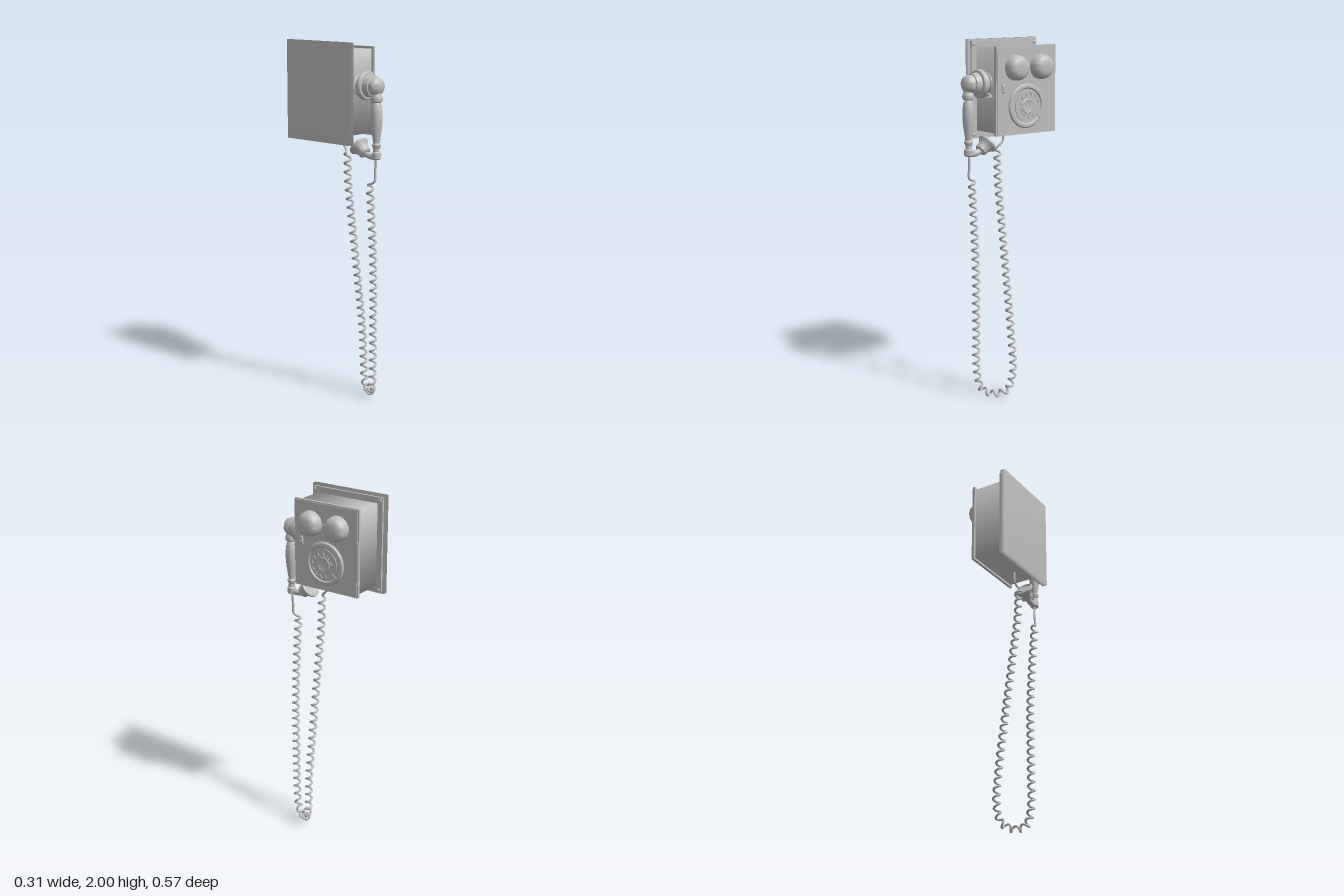
import * as THREE from 'three';
import { mergeVertices, toCreasedNormals } from 'three/addons/utils/BufferGeometryUtils.js';

const V = (x, y, z) => new THREE.Vector3(x, y, z);

export function createModel() {
  const root = new THREE.Group();
  root.name = 'wallTelephone';
  const grey = new THREE.MeshStandardMaterial({ color: 0xbebebe });
  grey.name = 'grey';
  grey.side = THREE.DoubleSide;

  const add = (name, geo, parent = root) => {
    const mesh = new THREE.Mesh(geo, grey);
    mesh.name = name;
    parent.add(mesh);
    return mesh;
  };
  // Box given by its low and high corners
  const box = (name, a, b) => {
    const mesh = add(name, new THREE.BoxGeometry(b[0] - a[0], b[1] - a[1], b[2] - a[2]));
    mesh.position.set((a[0] + b[0]) / 2, (a[1] + b[1]) / 2, (a[2] + b[2]) / 2);
    return mesh;
  };
  // Turned part: profile of [radius, distance along dir], starting at origin
  const turned = (name, profile, origin, dir, sides = 32) => {
    const geo = new THREE.LatheGeometry(profile.map(([r, h]) => new THREE.Vector2(r, h)), sides);
    const mesh = add(name, toCreasedNormals(geo, 0.6));
    mesh.position.copy(origin);
    mesh.quaternion.setFromUnitVectors(V(0, 1, 0), dir.clone().normalize());
    return mesh;
  };
  const tube = (name, pts, r, seg = 16) =>
    add(name, new THREE.TubeGeometry(new THREE.CatmullRomCurve3(pts), seg, r, 8));
  const X = V(1, 0, 0), Y = V(0, 1, 0), Z = V(0, 0, 1);

  // Wall plate with softly shaded corners, and its step
  const wallPlate = box('wallPlate', [-0.157, 1.46, -0.287], [-0.129, 2, 0.177]);
  wallPlate.geometry.deleteAttribute('normal');
  wallPlate.geometry.deleteAttribute('uv');
  wallPlate.geometry = mergeVertices(wallPlate.geometry);
  wallPlate.geometry.computeVertexNormals();
  box('wallPlateStep', [-0.129, 1.47, -0.277], [-0.117, 1.99, 0.166]);

  // Case body: a four-sided band, smooth round its corners
  const band = new THREE.CylinderGeometry(Math.SQRT1_2, Math.SQRT1_2, 1, 4, 1, true, Math.PI / 4);
  band.rotateZ(-Math.PI / 2).scale(0.1795, 0.452, 0.379);
  add('caseBody', band).position.set(-0.02725, 1.731, -0.0565);

  // Door panel
  box('doorPanel', [0.0625, 1.492, -0.26], [0.077, 1.97, 0.147]);
  box('doorPanelStep', [0.077, 1.498, -0.254], [0.082, 1.964, 0.141]);

  // Mounting screws in the corners of the wall plate
  for (const y of [1.483, 1.974]) for (const z of [-0.264, 0.153])
    turned('plateScrew', [[0.01, 0], [0.01, 0.002], [0.006, 0.006], [0, 0.008]], V(-0.117, y, z), X, 12);

  // Two bells with posts and screws, and the clapper between them
  for (const z of [-0.14, 0.029]) {
    turned('bell', [[0, 0], [0.064, 0], [0.068, 0.001], [0.068, 0.012], [0.066, 0.03], [0.06, 0.046],
      [0.05, 0.057], [0.036, 0.063], [0.018, 0.065], [0, 0.0655]], V(0.09, 1.855, z), X, 40);
    turned('bellPost', [[0.018, 0], [0.018, 0.012]], V(0.08, 1.855, z), X, 16);
    turned('bellScrew', [[0.008, 0], [0.008, 0.004], [0, 0.004]], V(0.153, 1.855, z), X, 10);
  }
  turned('clapper', [[0.004, 0], [0.004, 0.01], [0.01, 0.014], [0.011, 0.019], [0.007, 0.025], [0, 0.027]],
    V(0.08, 1.855, -0.055), X, 14);

  // Rotary dial: dished base with raised rim, finger wheel and hub
  const dialY = 1.645, dialZ = -0.053;
  turned('dialBase', [[0.12, 0], [0.12, 0.006], [0.114, 0.013], [0.1, 0.014], [0.094, 0.007], [0, 0.007]],
    V(0.081, dialY, dialZ), X, 48);
  const wheel = new THREE.Shape().absarc(0, 0, 0.084, 0, Math.PI * 2);
  for (let i = 0; i < 10; i++) {
    const a = 0.35 + i * 0.53;
    wheel.holes.push(new THREE.Path().absarc(Math.cos(a) * 0.062, Math.sin(a) * 0.062, 0.0135, 0, Math.PI * 2, true));
  }
  const wheelMesh = add('fingerWheel',
    new THREE.ExtrudeGeometry(wheel, { depth: 0.005, bevelEnabled: false, curveSegments: 20 }));
  wheelMesh.rotation.y = Math.PI / 2;
  wheelMesh.position.set(0.093, dialY, dialZ);
  turned('dialHub', [[0.042, 0], [0.042, 0.012], [0.036, 0.015], [0.032, 0.013], [0, 0.013]],
    V(0.088, dialY, dialZ), X, 32);
  const stop = add('fingerStop', new THREE.BoxGeometry(0.004, 0.008, 0.035));
  stop.position.set(0.1, dialY - 0.055, dialZ - 0.07);
  stop.rotation.x = -0.7;

  // Keyhole plate and key knob on the door
  const plate = turned('keyPlate', [[0.016, 0], [0.016, 0.006], [0.012, 0.009], [0, 0.009]], V(0.081, 1.745, 0.1), X, 20);
  plate.scale.set(1.7, 1, 0.85);
  turned('keyKnob', [[0.006, 0], [0.006, 0.008], [0, 0.01]], V(0.088, 1.745, 0.1), X, 10);

  // Cradle on the side of the case, with its slanted hook
  const hx = -0.029, hy = 1.77;
  turned('cradleBase', [[0.058, 0], [0.058, 0.007], [0.045, 0.014], [0, 0.014]], V(hx, hy, 0.132), Z);
  turned('cradlePost', [[0.018, 0], [0.018, 0.022]], V(hx, hy, 0.136), Z, 16);
  turned('cradleDisc', [[0, 0], [0.055, 0], [0.055, 0.014], [0.04, 0.02]], V(hx, hy, 0.148), Z);
  tube('cradleHook', [V(hx, 1.72, 0.138), V(0.015, 1.705, 0.139), V(0.034, 1.702, 0.148), V(0.05, 1.705, 0.174)], 0.008);

  // Handset: earpiece, turned grip, lower fitting and mouthpiece
  turned('earpiece', [[0, 0], [0.072, 0], [0.077, 0.005], [0.077, 0.024], [0.072, 0.03], [0.06, 0.032],
    [0.057, 0.066], [0.05, 0.068], [0.049, 0.09], [0.042, 0.104], [0.026, 0.115], [0, 0.119]],
    V(hx, hy, 0.166), Z, 36);
  for (const s of [-1, 1])
    turned('earpieceBolt', [[0.014, 0], [0.014, 0.008], [0, 0.01]], V(hx + s * 0.043, hy, 0.252), V(s, 0, 0), 12);
  turned('grip', [[0.017, 0.02], [0.024, 0.035], [0.024, 0.043], [0.018, 0.05], [0.021, 0.075], [0.028, 0.12],
    [0.032, 0.165], [0.032, 0.21], [0.027, 0.25], [0.02, 0.265], [0.031, 0.272], [0.033, 0.285],
    [0.03, 0.3], [0.024, 0.31], [0.024, 0.35]], V(hx, 1.42, 0.252), Y, 28);
  turned('lowerFitting', [[0, 0], [0.019, 0], [0.024, 0.006], [0.024, 0.035], [0.018, 0.042], [0.017, 0.065]],
    V(hx, 1.382, 0.252), Y, 20);
  tube('mouthpieceArm', [V(hx, 1.398, 0.25), V(hx, 1.394, 0.215), V(hx, 1.402, 0.185), V(hx, 1.42, 0.16)], 0.017);
  turned('mouthpiece', [[0, 0], [0.026, 0], [0.034, 0.006], [0.036, 0.03], [0.043, 0.046], [0.054, 0.056],
    [0.057, 0.06], [0.057, 0.07], [0.05, 0.074], [0.042, 0.067], [0, 0.062]],
    V(hx, 1.404, 0.178), V(0, 0.6, -0.8), 32);

  // Cord: straight leads and a coil wound round a long hanging loop
  const path = new THREE.CatmullRomCurve3([
    V(-0.045, 1.24, 0.221), V(-0.026, 1, 0.221), V(-0.012, 0.75, 0.221), V(-0.012, 0.4, 0.221), V(-0.011, 0.14, 0.217),
    V(0.006, 0.055, 0.196), V(0.045, 0.026, 0.142), V(0.085, 0.05, 0.078), V(0.102, 0.14, 0.053),
    V(0.09, 0.35, 0.053), V(0.05, 0.65, 0.053), V(0, 1, 0.053), V(-0.034, 1.25, 0.053), V(-0.038, 1.4, 0.053)]);
  path.arcLengthDivisions = 600;
  const turns = 54, perTurn = 12, n = turns * perTurn;
  const frames = path.computeFrenetFrames(n);
  const points = [V(hx, 1.39, 0.25), V(-0.031, 1.32, 0.247), V(-0.036, 1.26, 0.245)];
  for (let i = 0; i <= n; i++) {
    const a = (i / perTurn) * Math.PI * 2;
    points.push(path.getPointAt(i / n)
      .addScaledVector(frames.normals[i], 0.0172 * Math.cos(a))
      .addScaledVector(frames.binormals[i], 0.0172 * Math.sin(a)));
  }
  points.push(V(-0.037, 1.428, 0.035), V(-0.036, 1.446, 0.018), V(-0.035, 1.47, 0.014), V(-0.035, 1.51, 0.014));
  const cord = new THREE.CatmullRomCurve3(points);
  cord.arcLengthDivisions = 3000;
  add('coiledCord', new THREE.TubeGeometry(cord, 1000, 0.0066, 8));

  return root;
}
